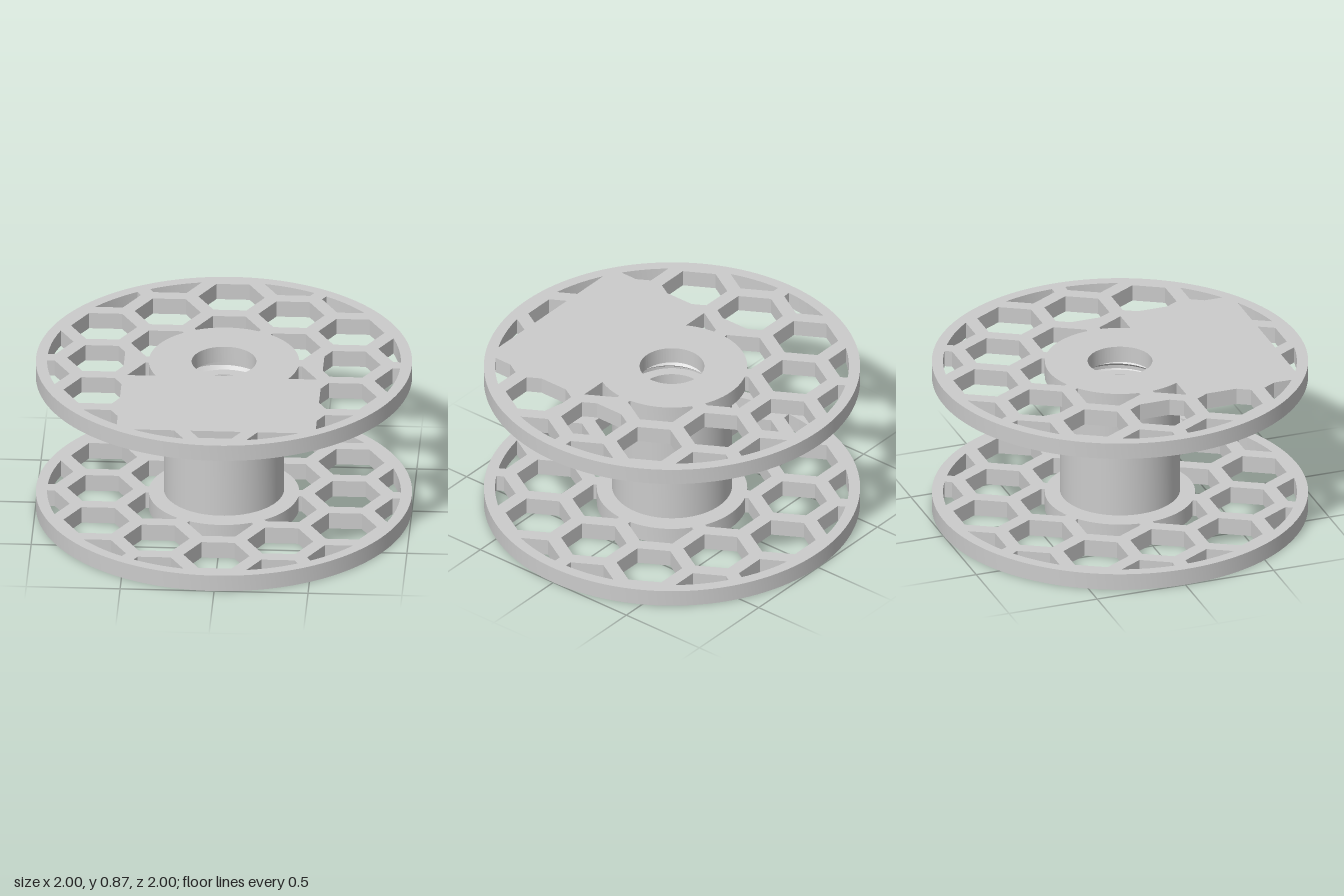
import * as THREE from 'three';
import { toCreasedNormals } from 'three/addons/utils/BufferGeometryUtils.js';

const PITCH = 0.38, HEX_R = 0.176;             // honeycomb spacing and cell radius
const RIM = 0.94, HUB = 0.4, BORE = 0.172;     // limits of the honeycomb, shaft hole
const SLAB = { x: 0.53, z0: 0.19, z1: 0.83 };  // solid label area of the upper flange

const material = new THREE.MeshStandardMaterial({ color: 0xcccccc });
const twoSided = new THREE.MeshStandardMaterial({ color: 0xcccccc, side: THREE.DoubleSide });

function part(name, geometry, mat = material) {
  const mesh = new THREE.Mesh(toCreasedNormals(geometry, 0.5), mat);
  mesh.name = name;
  return mesh;
}

// Keep the part of a polygon where nx*x + ny*y <= d
function clip(poly, nx, ny, d) {
  const out = [];
  poly.forEach((p, i) => {
    const q = poly[(i + 1) % poly.length];
    const a = nx * p.x + ny * p.y - d, b = nx * q.x + ny * q.y - d;
    if (a <= 0) out.push(p);
    if (a * b < 0) out.push(p.clone().lerp(q, a / (a - b)));
  });
  return out;
}

// One honeycomb cell trimmed by the hub, the rim and (optionally) the slab
function cell(cx, cz, withSlab) {
  let poly = [];
  const corner = (k) => new THREE.Vector2(cx + HEX_R * Math.cos(k * Math.PI / 3), cz + HEX_R * Math.sin(k * Math.PI / 3));
  const r = Math.hypot(cx, cz);
  const steps = r < HUB ? 12 : 1;
  for (let k = 0; k < 6; k++)
    for (let s = 0; s < steps; s++) poly.push(corner(k).lerp(corner(k + 1), s / steps));
  if (r < HUB) poly.forEach((p) => { if (p.length() < HUB) p.setLength(HUB); });
  if (r + HEX_R > RIM)
    for (let i = 0; i < 120; i++) {
      const a = i * Math.PI / 60;
      poly = clip(poly, Math.cos(a), Math.sin(a), RIM);
    }
  if (withSlab && cz > -0.1) {
    if (Math.abs(cx) > 0.6) poly = clip(poly, -Math.sign(cx), 0, -SLAB.x);
    else if (cz < 0.3) poly = clip(poly, 0, 1, SLAB.z0);
    else poly = clip(poly, 0, -1, -SLAB.z1);
  }
  return poly;
}

function flange(name, y0, y1, withSlab) {
  const shape = new THREE.Shape().absarc(0, 0, 1, 0, Math.PI * 2);
  shape.holes.push(new THREE.Path().absarc(0, 0, BORE, 0, Math.PI * 2));
  for (let col = -3; col <= 3; col++)
    for (let row = -3; row <= 3; row++) {
      const x = col * PITCH * Math.sqrt(3) / 2;
      const z = (row + (col % 2 ? 0.5 : 0)) * PITCH;
      if (Math.hypot(x, z) < 0.1) continue;
      const poly = cell(x, z, withSlab);
      if (poly.length > 2 && Math.abs(THREE.ShapeUtils.area(poly)) > 0.0005)
        shape.holes.push(new THREE.Path(poly));
    }
  const geo = new THREE.ExtrudeGeometry(shape, { depth: y1 - y0, bevelEnabled: false, curveSegments: 96 });
  geo.rotateX(Math.PI / 2).translate(0, y1, 0);
  return part(name, geo);
}

// Hollow cylinder
function sleeve(name, inner, outer, y0, y1) {
  const profile = [[inner, y0], [outer, y0], [outer, y1], [inner, y1], [inner, y0]];
  return part(name, new THREE.LatheGeometry(profile.map(([r, y]) => new THREE.Vector2(r, y)), 96));
}

// Helical ridge with a triangular section
function thread(name, root, crest, y0, y1, pitch) {
  const turns = (y1 - y0) / pitch, n = Math.round(turns * 48);
  const section = [[root, -pitch * 0.35], [crest, 0], [root, pitch * 0.35]];
  const pos = [], index = [];
  for (let i = 0; i <= n; i++) {
    const a = (i / n) * turns * Math.PI * 2, y = y0 + (y1 - y0) * i / n;
    for (const [r, dy] of section) pos.push(r * Math.cos(a), y + dy, -r * Math.sin(a));
    if (i < n) for (let j = 0; j < 2; j++) {
      const p = i * 3 + j;
      index.push(p, p + 3, p + 1, p + 1, p + 3, p + 4);
    }
  }
  const geo = new THREE.BufferGeometry();
  geo.setAttribute('position', new THREE.Float32BufferAttribute(pos, 3));
  geo.setIndex(index);
  return part(name, geo, twoSided);
}

export function createModel() {
  const spool = new THREE.Group();
  spool.name = 'spool';

  // Lower half: flange with a threaded hollow post
  const lower = new THREE.Group();
  lower.name = 'lowerHalf';
  lower.add(
    flange('lowerFlange', 0, 0.092, false),
    sleeve('post', BORE, 0.23, 0.09, 0.7),
    thread('postThread', 0.228, 0.252, 0.105, 0.68, 0.06)
  );

  // Upper half: flange with the label slab and the threaded core
  const upper = new THREE.Group();
  upper.name = 'upperHalf';
  upper.add(
    flange('upperFlange', 0.775, 0.865, true),
    sleeve('core', 0.255, 0.32, 0.107, 0.776),
    thread('coreThread', 0.256, 0.23, 0.14, 0.75, 0.06)
  );

  spool.add(lower, upper);
  return spool;
}
